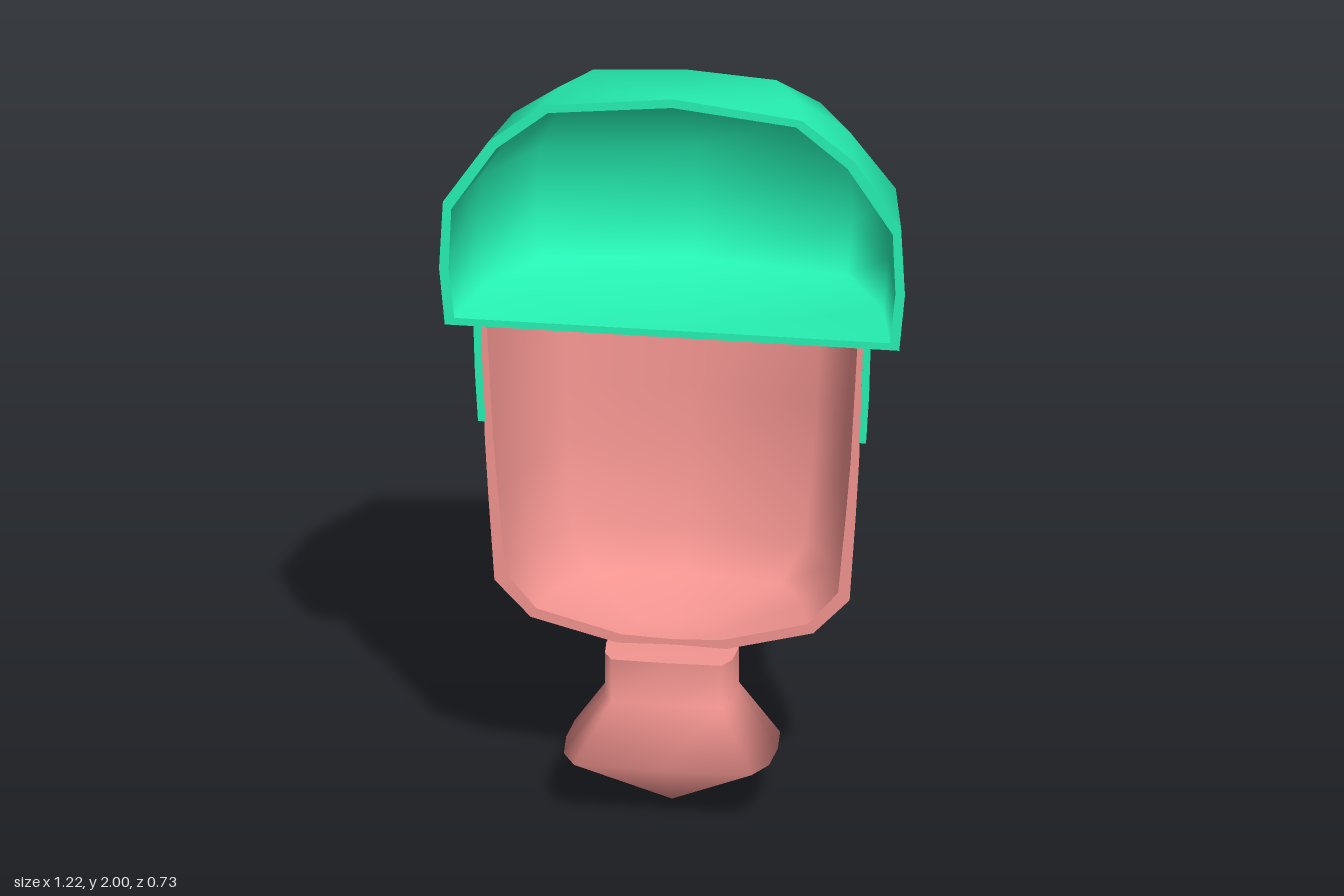
import * as THREE from 'three';
import { mergeGeometries, mergeVertices } from 'three/addons/utils/BufferGeometryUtils.js';

const CUT = 0.185; // z of the flat open front
// half outline from the left edge round the back to the right edge
const HALF = [[1, 0], [0.92, 0.45], [0.705, 0.88], [0, 1], [-0.705, 0.88], [-0.92, 0.45], [-1, 0]];
// full outline for the neck
const FULL = [[1, 0], [0.97, 0.58], [0.84, 0.96], [0, 1], [-0.84, 0.96], [-0.97, 0.58],
  [-1, 0], [-0.97, -0.58], [-0.84, -0.96], [0, -1], [0.84, -0.96], [0.97, -0.58], [1, 0]];

// one row of points; y may be a number or one height per outline point
const row = (outline, [y, w, d]) =>
  outline.map(([u, v], i) => [u * w, Array.isArray(y) ? y[i] : y, CUT - v * d]);

// smooth surface through rows of points
function grid(rows) {
  const n = rows[0].length, index = [];
  for (let r = 0; r < rows.length - 1; r++) {
    for (let c = 0; c < n - 1; c++) {
      const a = r * n + c, b = a + n;
      index.push(a, b, a + 1, a + 1, b, b + 1);
    }
  }
  let g = new THREE.BufferGeometry();
  g.setAttribute('position', new THREE.Float32BufferAttribute(rows.flat(2), 3));
  g.setIndex(index);
  g = mergeVertices(g, 1e-5);
  g.computeVertexNormals();
  return g.toNonIndexed();
}

// thick half shell: outside, inside and the flat rim between them
function shell(outerSpec, innerSpec) {
  const outer = outerSpec.map(s => row(HALF, s));
  const inner = innerSpec.map(s => row(HALF, s));
  const edge = (rows, i) => rows.map(r => r[i]);
  const last = HALF.length - 1;
  return mergeGeometries([
    grid(outer.slice(0, -1)),
    grid(outer.slice(-2)), // underside with a sharp edge
    grid(inner.map(r => [...r].reverse())),
    grid([edge(outer, 0), edge(inner, 0)]),
    grid([edge(inner, last), edge(outer, last)]),
  ]);
}

export function createModel() {
  const group = new THREE.Group();
  const green = new THREE.MeshStandardMaterial({ color: 0x26f2b4 });
  const pink = new THREE.MeshStandardMaterial({ color: 0xf29490 });
  const add = (name, geometry, material) => {
    const mesh = new THREE.Mesh(geometry, material);
    mesh.name = name;
    group.add(mesh);
  };

  // hollow domed cap with a floor: [height, half width, depth]
  add('cap', shell(
    [[2, 0, 0], [1.96, 0.34, 0.275], [1.85, 0.48, 0.405], [1.67, 0.6, 0.54],
      [1.48, 0.61, 0.545], [1.32, 0.595, 0.525], [1.32, 0, 0]],
    [[1.975, 0, 0], [1.94, 0.325, 0.24], [1.83, 0.46, 0.35], [1.65, 0.578, 0.47],
      [1.48, 0.585, 0.48], [1.34, 0.57, 0.46], [1.34, 0, 0]],
  ), green);

  // band below the cap, lower at the back
  const hem = [1.05, 0.965, 0.87, 0.84, 0.87, 0.965, 1.05];
  const middle = hem.map(y => (y + 1.32) / 2);
  add('capBand', shell(
    [[1.32, 0.52, 0.48], [middle, 0.516, 0.465], [hem, 0.508, 0.447], [hem, 0.488, 0.42]],
    [[1.32, 0.5, 0.45], [middle, 0.496, 0.44], [hem, 0.488, 0.42], [hem, 0.488, 0.42]],
  ), green);

  // hollow half shell of the face
  add('headShell', shell(
    [[1.32, 0.5, 0.455], [1, 0.49, 0.434], [0.84, 0.481, 0.42], [0.6, 0.465, 0.39],
      [0.5, 0.37, 0.31], [0.44, 0.14, 0.1], [0.44, 0, 0]],
    [[1.32, 0.485, 0.415], [1, 0.468, 0.4], [0.84, 0.455, 0.385], [0.62, 0.435, 0.355],
      [0.525, 0.355, 0.28], [0.465, 0.13, 0.09], [0.46, 0, 0]],
  ), pink);

  // faceted neck ending in a point
  const neck = [[0.44, 0.172, 0.108], [0.32, 0.172, 0.108], [0.165, 0.277, 0.18], [0.005, 0, 0]]
    .map(s => row(FULL, s));
  const neckTop = [row(FULL, [0.445, 0, 0]), neck[0]];
  add('neck', mergeGeometries([grid(neck), grid(neckTop)]), pink);

  // stand on the ground
  group.children.forEach(m => m.geometry.translate(0, -0.002, 0));
  return group;
}
